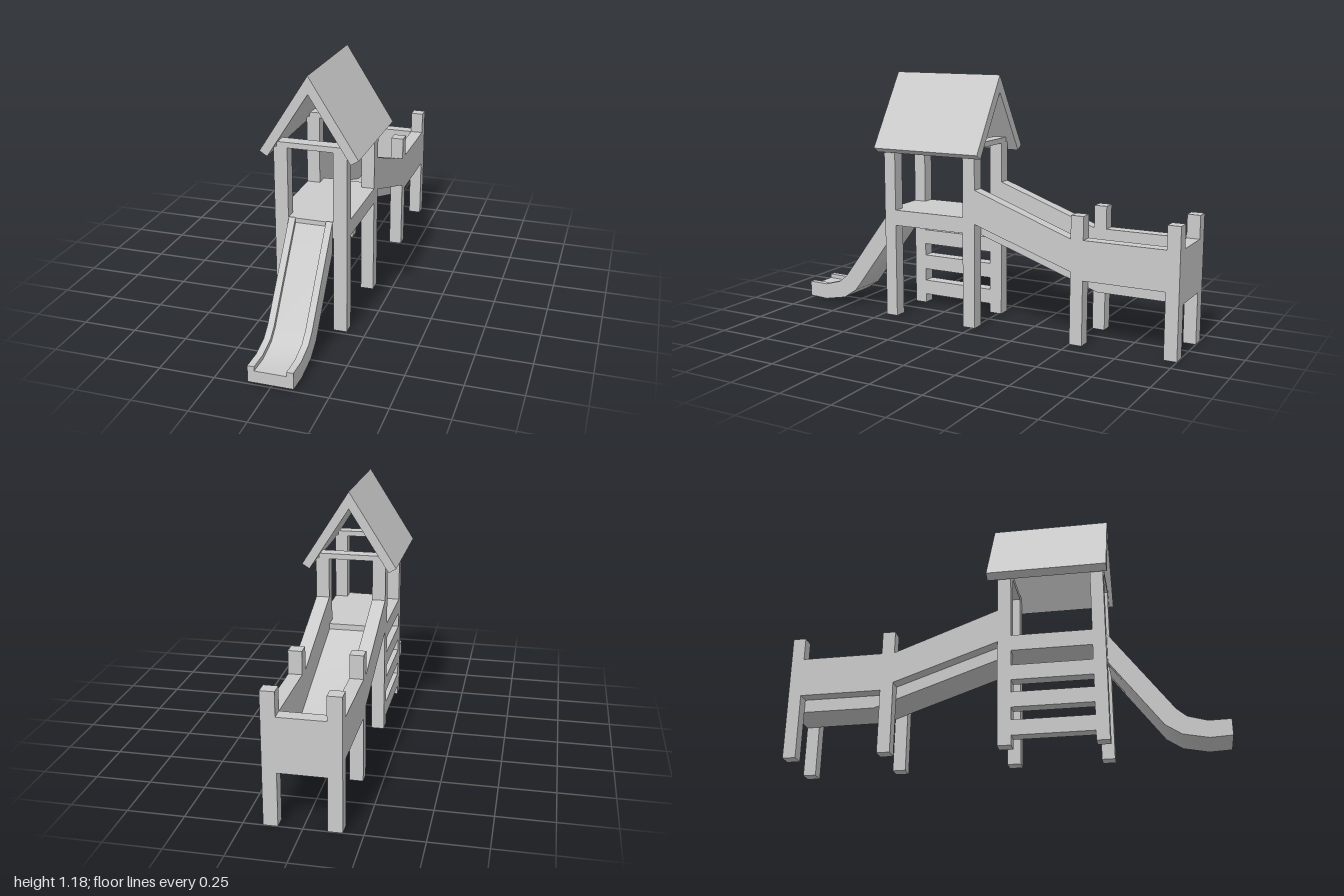
import * as THREE from 'three';
import { toCreasedNormals } from 'three/addons/utils/BufferGeometryUtils.js';

const material = new THREE.MeshStandardMaterial({ color: 0xcccccc });

export function createModel() {
  const group = new THREE.Group();
  group.name = 'playgroundTower';

  const add = (name, geometry) => {
    const mesh = new THREE.Mesh(geometry, material);
    mesh.name = name;
    group.add(mesh);
  };

  // Box given by its extents on each axis
  const box = (name, x0, x1, y0, y1, z0, z1) => {
    const g = new THREE.BoxGeometry(x1 - x0, y1 - y0, z1 - z0);
    g.translate((x0 + x1) / 2, (y0 + y1) / 2, (z0 + z1) / 2);
    add(name, g);
  };

  const extrude = (points, depth) => {
    const shape = new THREE.Shape(points.map(([a, b]) => new THREE.Vector2(a, b)));
    return new THREE.ExtrudeGeometry(shape, { depth, bevelEnabled: false });
  };

  // Side profile of [z, y] points, extruded across x
  const sideProfile = (name, points, x0, x1) => {
    const g = extrude(points, x1 - x0);
    g.rotateY(-Math.PI / 2);
    g.translate(x1, 0, 0);
    add(name, toCreasedNormals(g, 0.7));
  };

  const inner = 0.103, outer = 0.165;
  const towerFront = [0.42, 0.48], towerBack = [-0.015, 0.048];
  const walkMiddle = [-0.56, -0.5], walkEnd = [-1, -0.94];

  for (const [side, s] of [['left', 1], ['right', -1]]) {
    const xs = s > 0 ? [inner, outer] : [-outer, -inner];

    // Posts
    box(side + 'FrontTowerPost', ...xs, 0, 0.85, ...towerFront);
    box(side + 'BackTowerPost', ...xs, 0, 0.85, ...towerBack);
    box(side + 'MiddleWalkwayPost', ...xs, 0, 0.59, ...walkMiddle);
    box(side + 'EndWalkwayPost', ...xs, 0, 0.59, ...walkEnd);

    // Solid side panels along the ramp and the level walkway
    sideProfile(side + 'RampPanel',
      [[-0.015, 0.66], [-0.015, 0.5], [-0.5, 0.335], [-0.5, 0.483]], ...xs);
    box(side + 'WalkwayPanel', ...xs, 0.3, 0.483, -0.94, -0.56);

    // Slide rails
    const rail = s > 0 ? [0.07, 0.1] : [-0.1, -0.07];
    sideProfile(side + 'SlideRail', [
      [0.48, 0.53], [0.767, 0.146], [0.812, 0.108], [0.9, 0.083], [1, 0.085],
      [1, 0.01], [0.9, 0.005], [0.785, 0.028], [0.714, 0.075], [0.48, 0.388],
    ], ...rail);

    // Roof slab, mitred at the ridge
    const roof = [[0, 1.18], [0, 1.1], [s * 0.187, 0.808], [s * 0.222, 0.83]];
    const g = extrude(roof, 0.56);
    g.translate(0, 0, -0.06);
    add(side + 'RoofSlab', g);
  }

  // Beams joining the post tops
  box('frontBeam', -0.15, 0.15, 0.848, 0.873, ...towerFront);
  box('backBeam', -0.15, 0.15, 0.848, 0.873, ...towerBack);

  // Tower deck: between the posts across, and out to their faces in the middle
  box('deck', -outer, outer, 0.452, 0.527, towerBack[1], towerFront[0]);
  box('deckFrontEdge', -inner, inner, 0.452, 0.527, ...towerFront);
  box('deckBackEdge', -inner, inner, 0.452, 0.527, ...towerBack);

  // Ladder rungs on one side of the tower
  for (const y of [0.045, 0.177, 0.308]) {
    box('ladderRung', -outer, -inner, y, y + 0.072, towerBack[1], towerFront[0]);
  }

  // Slide bed, sunk between the rails
  sideProfile('slideBed', [
    [0.48, 0.506], [0.755, 0.132], [0.803, 0.09], [0.9, 0.063], [1, 0.065],
    [1, 0.01], [0.9, 0.005], [0.785, 0.028], [0.714, 0.075], [0.48, 0.388],
  ], -0.07, 0.07);

  // Ramp and walkway floor in one bent slab
  sideProfile('walkwayFloor', [
    [-0.015, 0.5], [-0.61, 0.3], [-0.94, 0.3],
    [-0.94, 0.24], [-0.605, 0.24], [-0.015, 0.44],
  ], -inner, inner);

  // Panel closing the walkway end
  box('endPanel', -inner, inner, 0.24, 0.483, ...walkEnd);

  return group;
}
